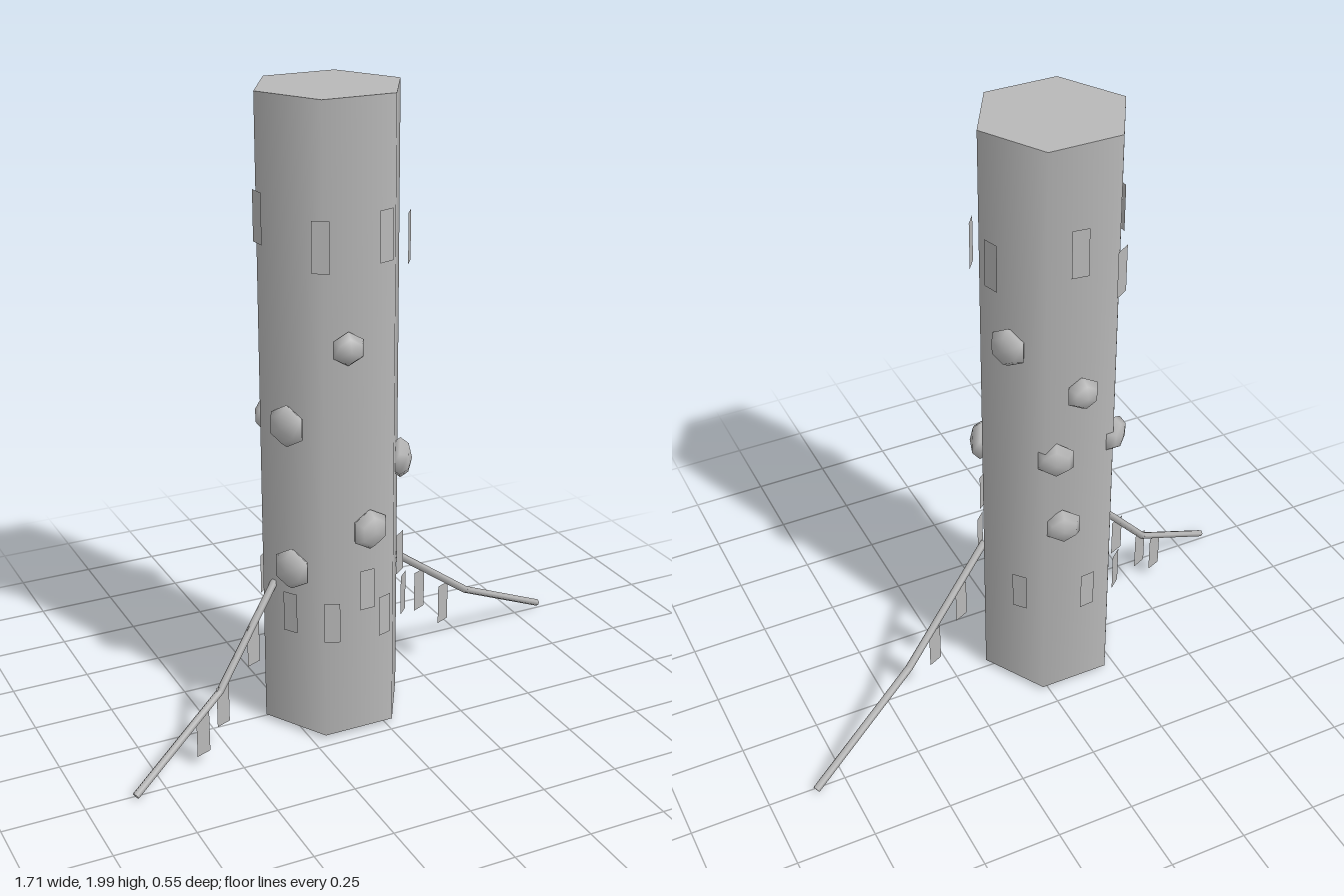
import * as THREE from 'three';

const CX = -0.095, CZ = 0.015; // trunk axis

export function createModel() {
  const model = new THREE.Group();
  const grey = new THREE.MeshStandardMaterial({ color: 0xb8b8b8 });
  grey.name = 'grey';
  grey.side = THREE.DoubleSide;

  const add = (name, geometry) => {
    const mesh = new THREE.Mesh(geometry, grey);
    mesh.name = name;
    model.add(mesh);
    return mesh;
  };

  // Place a mesh on the trunk, facing outwards along the direction (dx, dz)
  const around = (mesh, dx, dz, radius, y) => {
    const angle = Math.atan2(dx, dz);
    mesh.position.set(CX + Math.sin(angle) * radius, y, CZ + Math.cos(angle) * radius);
    mesh.rotation.y = angle;
  };

  // Six-sided trunk with smooth sides
  add('trunk', new THREE.CylinderGeometry(0.23, 0.23, 1.98, 6, 1, false, Math.PI / 6))
    .position.set(CX, 1.01, CZ);

  // Flattened six-sided knobs: direction x, direction z, height, radius
  const knobShape = new THREE.SphereGeometry(1, 6, 4);
  knobShape.rotateX(Math.PI / 2);
  knobShape.rotateZ(Math.PI / 2);
  [
    [-0.04, 0.21, 1.28, 0.052], [0.03, 0.21, 0.70, 0.064],
    [-0.19, 0.1, 1.03, 0.066], [-0.185, 0.11, 0.57, 0.066],
    [0.185, 0.105, 0.865, 0.066], [0.19, -0.1, 1.34, 0.064],
    [0, -0.21, 1.19, 0.055], [0.08, -0.2, 0.96, 0.062],
    [-0.133, -0.168, 0.97, 0.06], [0.055, -0.2, 0.70, 0.062],
  ].forEach(([dx, dz, y, r]) => {
    const knob = add('knob', knobShape.clone().scale(r, r, 0.036));
    around(knob, dx, dz, 0.213, y);
  });

  // Paper tags around the trunk: direction x, direction z, height of the middle
  const upperTag = new THREE.PlaneGeometry(0.052, 0.153);
  [
    [-0.125, 0.205, 1.588], [0.075, 0.228, 1.605], [0.195, 0.14, 1.567],
    [0.23, -0.07, 1.608], [0.029, -0.238, 1.685], [-0.126, -0.204, 1.567],
    [-0.237, 0.019, 1.645],
  ].forEach(([dx, dz, y]) => around(add('upperTag', upperTag), dx, dz, 0.236, y));

  const lowerTag = new THREE.PlaneGeometry(0.048, 0.13);
  [
    [-0.2, 0.13, 0.435], [-0.1, 0.218, 0.415], [0.01, 0.24, 0.515],
    [0.075, 0.228, 0.41], [0.145, 0.19, 0.59], [0.165, 0.165, 0.437],
    [0.18, -0.155, 0.435], [-0.02, -0.238, 0.43], [-0.153, -0.185, 0.425],
  ].forEach(([dx, dz, y]) => around(add('lowerTag', lowerTag), dx, dz, 0.236, y));

  // Bent ropes running from the trunk to the ground, with hanging tags
  const up = new THREE.Vector3(0, 1, 0);
  const rope = (points, tags) => {
    const p = points.map((a) => new THREE.Vector3(...a));
    for (let i = 0; i < 2; i++) {
      const dir = p[i + 1].clone().sub(p[i]);
      const part = add('rope', new THREE.CylinderGeometry(0.012, 0.012, dir.length(), 6));
      part.position.copy(p[i]).addScaledVector(dir, 0.5);
      part.quaternion.setFromUnitVectors(up, dir.clone().normalize());
    }
    tags.forEach(([x, top]) => {
      const i = Math.abs(x) < Math.abs(p[1].x) ? 0 : 1;
      const dir = p[i + 1].clone().sub(p[i]);
      const tag = add('hangingTag', new THREE.PlaneGeometry(0.052, 0.135));
      tag.position.set(x, top - 0.0675, p[i].z + dir.z * (x - p[i].x) / dir.x);
      tag.rotation.y = Math.atan2(-dir.z, dir.x);
    });
  };
  rope([[0.115, 0.505, 0.055], [0.46, 0.23, -0.105], [0.85, 0.017, -0.265]],
    [[0.225, 0.4], [0.345, 0.3]]);
  rope([[-0.3, 0.5, 0.045], [-0.53, 0.22, 0.143], [-0.85, 0.017, 0.265]],
    [[-0.392, 0.388], [-0.518, 0.238], [-0.597, 0.172]]);

  return model;
}
